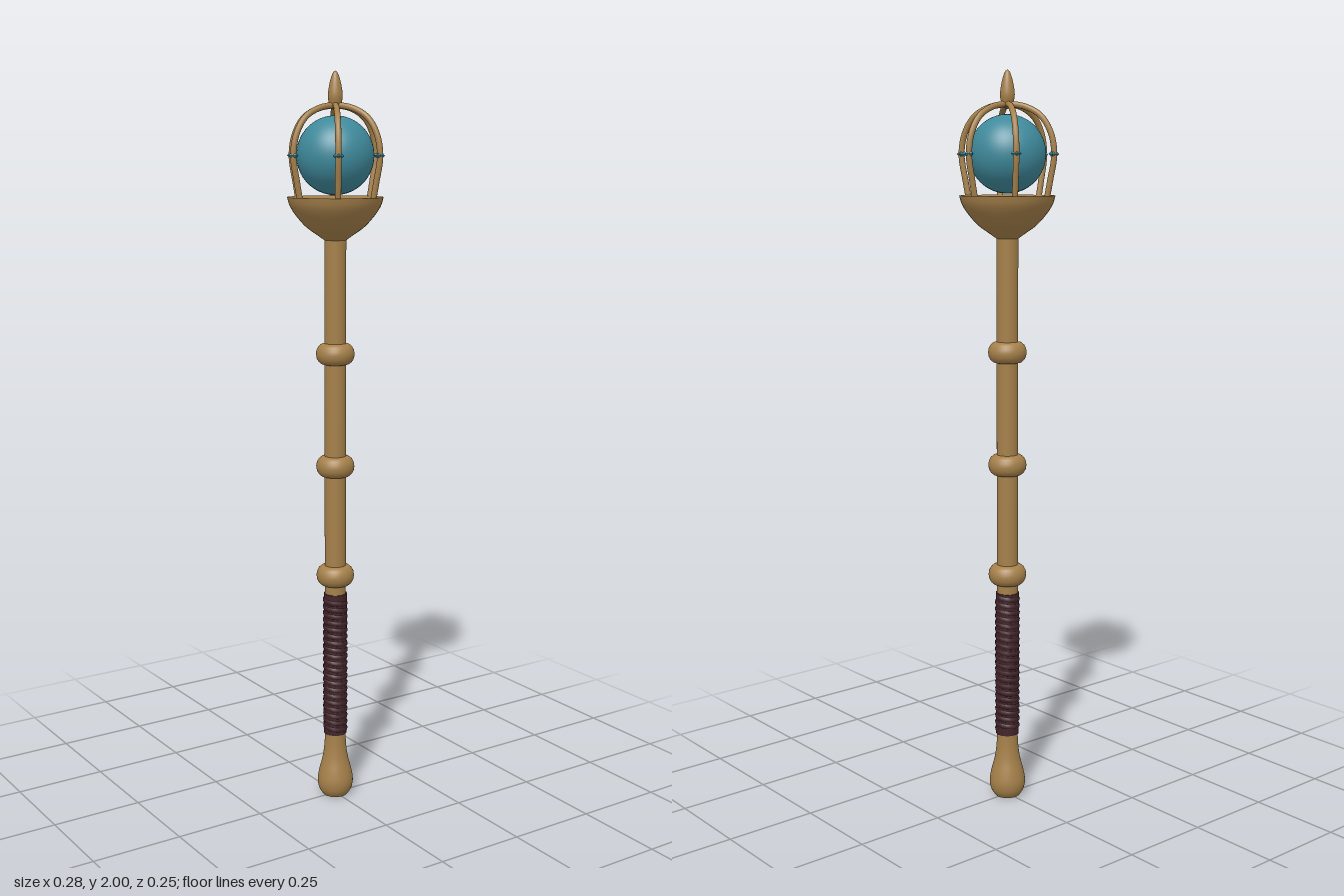
import * as THREE from 'three';

const gold = new THREE.MeshStandardMaterial({ color: 0xa5804a });
gold.name = 'brass';
const teal = new THREE.MeshStandardMaterial({ color: 0x3f8a9c });
teal.name = 'tealCrystal';
const leather = new THREE.MeshStandardMaterial({ color: 0x42242a });
leather.name = 'darkLeather';

const v2 = ([x, y]) => new THREE.Vector2(x, y);

function add(parent, name, geometry, material, x = 0, y = 0, z = 0) {
  const mesh = new THREE.Mesh(geometry, material);
  mesh.name = name;
  mesh.position.set(x, y, z);
  parent.add(mesh);
  return mesh;
}

// Smooth turned profile through a few [radius, height] points, bottom to top
function turned(points, divisions = 24) {
  const pts = new THREE.SplineCurve(points.map(v2)).getPoints(divisions);
  pts.forEach((p) => { p.x = Math.max(p.x, 0); });
  return new THREE.LatheGeometry(pts, 40);
}

export function createModel() {
  const group = new THREE.Group();
  group.name = 'scepter';

  // Shaft
  add(group, 'shaft', new THREE.CylinderGeometry(0.029, 0.029, 1.48, 32), gold, 0, 0.85);

  // Pommel with a flat foot
  add(group, 'pommel', turned([[0.035, 0.002], [0.046, 0.02], [0.05, 0.045], [0.045, 0.075],
    [0.036, 0.11], [0.031, 0.145], [0.029, 0.18]]), gold);
  const foot = add(group, 'pommelFoot', new THREE.CircleGeometry(0.036, 40), gold, 0, 0.002);
  foot.rotation.x = Math.PI / 2;
  foot.position.y = 0.001;

  // Leather grip: core and spiral wrap
  add(group, 'gripCore', new THREE.CylinderGeometry(0.032, 0.032, 0.41, 32), leather, 0, 0.39);
  const spiral = [];
  const turns = 20;
  for (let i = 0; i <= turns * 16; i++) {
    const a = (i / 16) * Math.PI * 2;
    spiral.push(new THREE.Vector3(0.0245 * Math.cos(a), 0.196 + 0.388 * i / (turns * 16), 0.0245 * Math.sin(a)));
  }
  add(group, 'gripWrap', new THREE.TubeGeometry(new THREE.CatmullRomCurve3(spiral), turns * 16, 0.0105, 8), leather);

  // Rounded collars along the shaft
  for (const y of [0.647, 0.955, 1.263]) {
    const collar = add(group, 'collar', new THREE.TorusGeometry(0.029, 0.023, 16, 40), gold, 0, y);
    collar.rotation.x = Math.PI / 2;
    collar.scale.z = 1.25;
  }

  // Cup under the orb, with a flat top
  add(group, 'cup', turned([[0.028, 1.565], [0.045, 1.577], [0.077, 1.6], [0.104, 1.63],
    [0.12, 1.655], [0.127, 1.678]]), gold);
  const top = add(group, 'cupTop', new THREE.CircleGeometry(0.127, 40), gold, 0, 1.678);
  top.rotation.x = -Math.PI / 2;

  // Orb
  add(group, 'orb', new THREE.SphereGeometry(0.102, 48, 32), teal, 0, 1.785);

  // Six curved cage ribs, each with a small gem
  const path = new THREE.CatmullRomCurve3([[0.109, 1.668], [0.118, 1.715], [0.129, 1.785], [0.119, 1.84],
    [0.092, 1.882], [0.05, 1.905], [0, 1.914]].map(([x, y]) => new THREE.Vector3(x, y, 0)));
  const ribGeometry = new THREE.TubeGeometry(path, 32, 0.008, 12);
  const gemGeometry = new THREE.OctahedronGeometry(0.0145);
  for (let i = 0; i < 6; i++) {
    const rib = new THREE.Group();
    rib.name = 'cageRib';
    rib.rotation.y = i * Math.PI / 3;
    add(rib, 'rib', ribGeometry, gold);
    add(rib, 'ribGem', gemGeometry, teal, 0.128, 1.785);
    group.add(rib);
  }

  // Pointed finial
  add(group, 'finial', turned([[0, 1.9], [0.012, 1.907], [0.018, 1.925], [0.019, 1.943],
    [0.014, 1.972], [0.007, 1.993], [0, 2]]), gold);

  return group;
}
